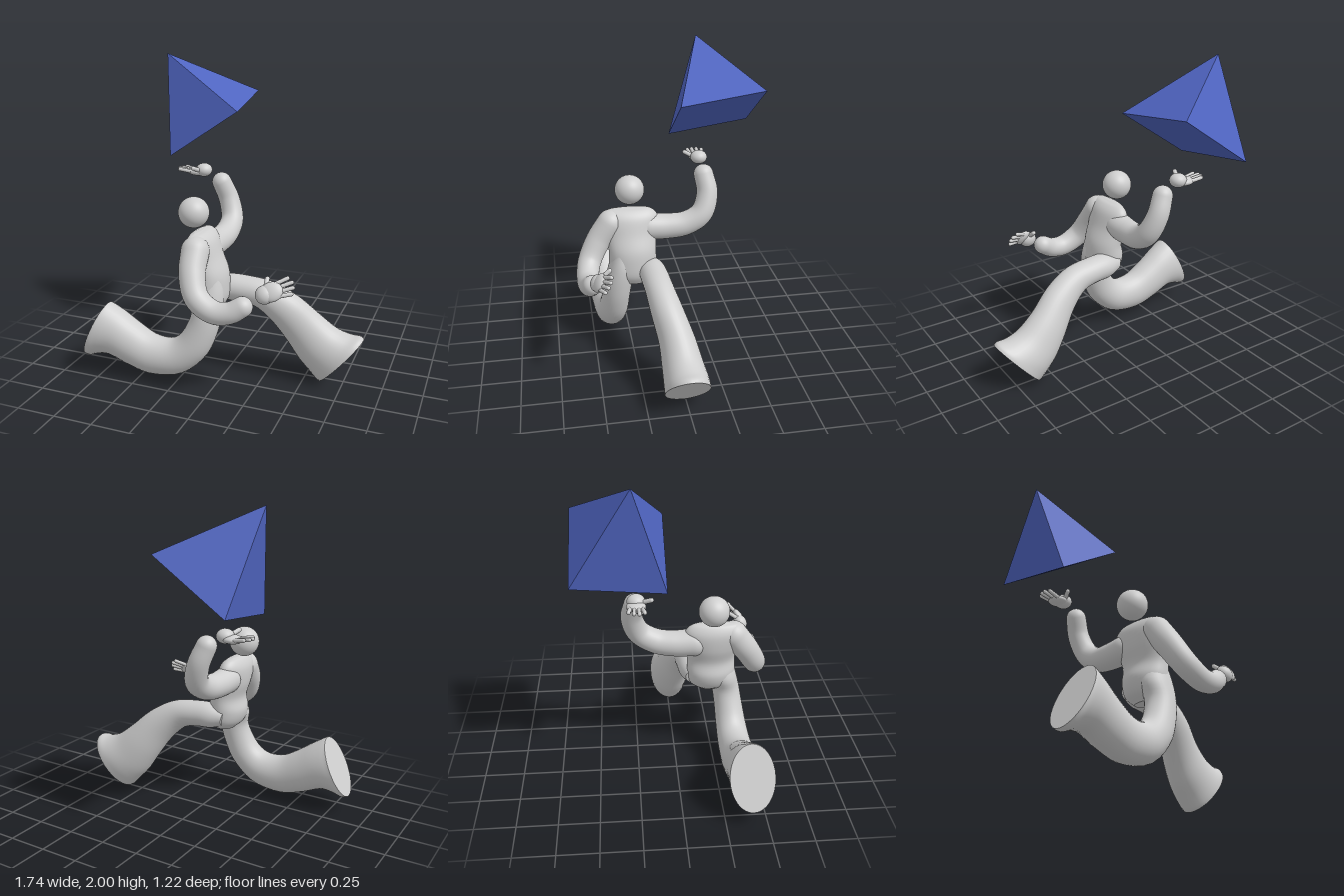
import * as THREE from 'three';

const V = (x, y, z) => new THREE.Vector3(x, y, z);

// Skin over rings { c, u, v } (centre and two half axes, u x v along the travel), with flat end caps
function skin(rings, sides = 32) {
  const pos = [], idx = [];
  const addRing = ({ c, u, v }) => {
    const start = pos.length / 3;
    for (let j = 0; j < sides; j++) {
      const a = (j / sides) * Math.PI * 2;
      const p = c.clone().addScaledVector(u, Math.cos(a)).addScaledVector(v, Math.sin(a));
      pos.push(p.x, p.y, p.z);
    }
    return start;
  };
  rings.forEach(addRing);
  for (let i = 0; i < rings.length - 1; i++) {
    for (let j = 0; j < sides; j++) {
      const a = i * sides + j, b = i * sides + (j + 1) % sides;
      idx.push(a, b, b + sides, a, b + sides, a + sides);
    }
  }
  [rings[0], rings[rings.length - 1]].forEach((ring, end) => {
    const s = addRing(ring), m = pos.length / 3;
    pos.push(ring.c.x, ring.c.y, ring.c.z);
    for (let j = 0; j < sides; j++) {
      const a = s + j, b = s + (j + 1) % sides;
      if (end) idx.push(m, a, b); else idx.push(m, b, a);
    }
  });
  const g = new THREE.BufferGeometry();
  g.setAttribute('position', new THREE.Float32BufferAttribute(pos, 3));
  g.setIndex(idx);
  g.computeVertexNormals();
  return g;
}

// Loft from side outlines: each section is [x1, y1, x2, y2, zCentre, zHalfWidth]
function loft(sections, side, steps = 40) {
  const curve = f => new THREE.CatmullRomCurve3(sections.map(f), false, 'catmullrom', 0.5);
  const first = curve(s => V(s[0], s[1], 0));
  const second = curve(s => V(s[2], s[3], 0));
  const depth = curve(s => V(s[4], s[5], 0));
  const rings = [];
  for (let i = 0; i <= steps; i++) {
    const t = i / steps, a = first.getPoint(t), b = second.getPoint(t), d = depth.getPoint(t);
    const c = a.clone().add(b).multiplyScalar(0.5);
    c.z = d.x;
    rings.push({ c, u: a.sub(b).multiplyScalar(0.5), v: V(0, 0, side * d.y) });
  }
  return skin(rings);
}

// Round-ended tube along points, tapering from r0 to r1
function taperedTube(points, r0, r1, steps = 36) {
  const path = new THREE.CatmullRomCurve3(points);
  const fr = path.computeFrenetFrames(steps);
  const rings = [];
  const add = (i, offset, r) => rings.push({
    c: path.getPointAt(i / steps).addScaledVector(fr.tangents[i], offset),
    u: fr.normals[i].clone().multiplyScalar(r),
    v: fr.binormals[i].clone().multiplyScalar(r),
  });
  const round = 8;
  for (let k = 0; k < round; k++) {
    const a = ((k + 0.1) / round) * Math.PI / 2;
    add(0, -r0 * Math.cos(a), r0 * Math.sin(a));
  }
  for (let i = 0; i <= steps; i++) add(i, 0, r0 + (r1 - r0) * i / steps);
  for (let k = round - 1; k >= 0; k--) {
    const a = ((k + 0.1) / round) * Math.PI / 2;
    add(steps, r1 * Math.cos(a), r1 * Math.sin(a));
  }
  return skin(rings);
}

export function createModel() {
  const grey = new THREE.MeshStandardMaterial({ color: 0xcfcfcf });
  grey.name = 'light grey';
  const blue = new THREE.MeshStandardMaterial({ color: 0x4f64c0 });
  blue.name = 'blue';
  const model = new THREE.Group();
  model.name = 'runnerWithPyramid';
  const add = (name, geometry, material = grey, parent = model) => {
    const m = new THREE.Mesh(geometry, material);
    m.name = name;
    parent.add(m);
    return m;
  };

  // Head
  add('head', new THREE.SphereGeometry(0.096, 40, 28)).position.set(-0.17, 1.1, 0.235);

  // Torso, from shoulders to hips
  add('torso', loft([
    [-0.11, 0.997, -0.14, 0.997, 0.25, 0.08],
    [-0.07, 0.985, -0.17, 0.98, 0.25, 0.15],
    [-0.03, 0.94, -0.195, 0.92, 0.245, 0.185],
    [0.005, 0.84, -0.19, 0.82, 0.24, 0.165],
    [0.045, 0.74, -0.165, 0.72, 0.235, 0.155],
    [0.055, 0.65, -0.18, 0.63, 0.235, 0.155],
    [0.05, 0.57, -0.155, 0.55, 0.235, 0.145],
    [0.02, 0.51, -0.1, 0.5, 0.23, 0.09],
  ], 1));

  // Leg stretched forward, ending in a flat sole
  add('forwardLeg', loft([
    [-0.1, 0.65, -0.08, 0.54, 0.13, 0.06],
    [0, 0.68, 0, 0.515, 0.12, 0.085],
    [0.12, 0.68, 0.1, 0.51, 0.112, 0.09],
    [0.29, 0.655, 0.2, 0.485, 0.1, 0.092],
    [0.45, 0.57, 0.3, 0.39, 0.072, 0.103],
    [0.58, 0.455, 0.39, 0.255, 0.035, 0.113],
    [0.69, 0.37, 0.46, 0.145, 0.02, 0.125],
    [0.78, 0.337, 0.525, 0.072, 0.013, 0.134],
    [0.845, 0.335, 0.575, 0.018, 0.013, 0.137],
    [0.868, 0.32, 0.597, 0.002, 0.013, 0.137],
  ], 1));

  // Leg trailing behind
  add('trailingLeg', loft([
    [-0.14, 0.68, 0.03, 0.72, 0.31, 0.06],
    [-0.165, 0.59, 0.052, 0.62, 0.315, 0.085],
    [-0.145, 0.5, 0.048, 0.5, 0.335, 0.09],
    [-0.17, 0.415, 0.02, 0.36, 0.352, 0.092],
    [-0.22, 0.335, -0.05, 0.21, 0.365, 0.098],
    [-0.29, 0.297, -0.2, 0.08, 0.375, 0.105],
    [-0.4, 0.308, -0.4, 0.045, 0.382, 0.112],
    [-0.51, 0.37, -0.56, 0.085, 0.387, 0.12],
    [-0.6, 0.432, -0.69, 0.136, 0.393, 0.126],
    [-0.66, 0.47, -0.78, 0.128, 0.4, 0.133],
    [-0.69, 0.488, -0.835, 0.109, 0.404, 0.136],
    [-0.7, 0.49, -0.868, 0.118, 0.404, 0.136],
  ], -1));

  // Arms
  add('loweredArm', taperedTube([
    V(-0.105, 0.905, 0.37), V(-0.09, 0.79, 0.455), V(-0.035, 0.67, 0.52),
    V(0.08, 0.605, 0.54), V(0.18, 0.615, 0.535), V(0.25, 0.657, 0.52),
  ], 0.087, 0.062));
  add('raisedArm', taperedTube([
    V(-0.11, 0.86, 0.12), V(-0.105, 0.855, 0), V(-0.095, 0.87, -0.12),
    V(-0.095, 0.935, -0.225), V(-0.135, 1.06, -0.27), V(-0.18, 1.175, -0.253),
  ], 0.088, 0.064));

  // Hand: local x along the fingers, y to the thumb, z times palm sign is the palm side
  function hand(name, origin, along, toThumb, palm) {
    const g = new THREE.Group();
    g.name = name;
    const x = along.clone().normalize();
    const y = toThumb.clone().addScaledVector(x, -toThumb.dot(x)).normalize();
    g.quaternion.setFromRotationMatrix(new THREE.Matrix4().makeBasis(x, y, x.clone().cross(y)));
    g.position.copy(origin);
    const ball = new THREE.SphereGeometry(1, 24, 16);
    const heel = add('palmHeel', ball, grey, g);
    heel.scale.set(0.055, 0.055, 0.045);
    const pad = add('palm', ball, grey, g);
    pad.scale.set(0.066, 0.058, 0.027);
    pad.position.set(0.045, 0, -0.012 * palm);
    const digit = (label, a, b, r) => {
      const d = b.clone().sub(a);
      const m = add(label, new THREE.CapsuleGeometry(r, d.length(), 6, 12), grey, g);
      m.position.copy(a).lerp(b, 0.5);
      m.quaternion.setFromUnitVectors(V(0, 1, 0), d.normalize());
    };
    [0.155, 0.17, 0.165, 0.145].forEach((len, i) => {
      const s = 1.5 - i;
      digit('finger', V(0.06, s * 0.023, -0.012 * palm), V(len, s * 0.031, 0.004 * palm), 0.0125);
    });
    digit('thumb', V(0.015, 0.03, 0), V(0.042, 0.088, 0.026 * palm), 0.0145);
    model.add(g);
  }
  hand('loweredHand', V(0.375, 0.74, 0.493), V(0.87, 0.36, -0.32), V(-0.4, 0.76, -0.4), -1);
  hand('raisedHand', V(-0.303, 1.248, -0.245), V(-1, -0.02, 0), V(0, 0, 1), 1);

  // Square pyramid floating above the raised hand
  const apex = V(-0.56, 2, -0.265);
  const base = [V(-0.003, 1.677, -0.07), V(-0.465, 1.365, -0.07), V(-0.51, 1.43, -0.615), V(-0.05, 1.742, -0.615)];
  const tris = [base[0], base[1], base[2], base[0], base[2], base[3]];
  base.forEach((p, i) => tris.push(base[(i + 1) % 4], p, apex));
  const pyramid = new THREE.BufferGeometry().setFromPoints(tris);
  pyramid.computeVertexNormals();
  add('pyramid', pyramid, blue);

  return model;
}
